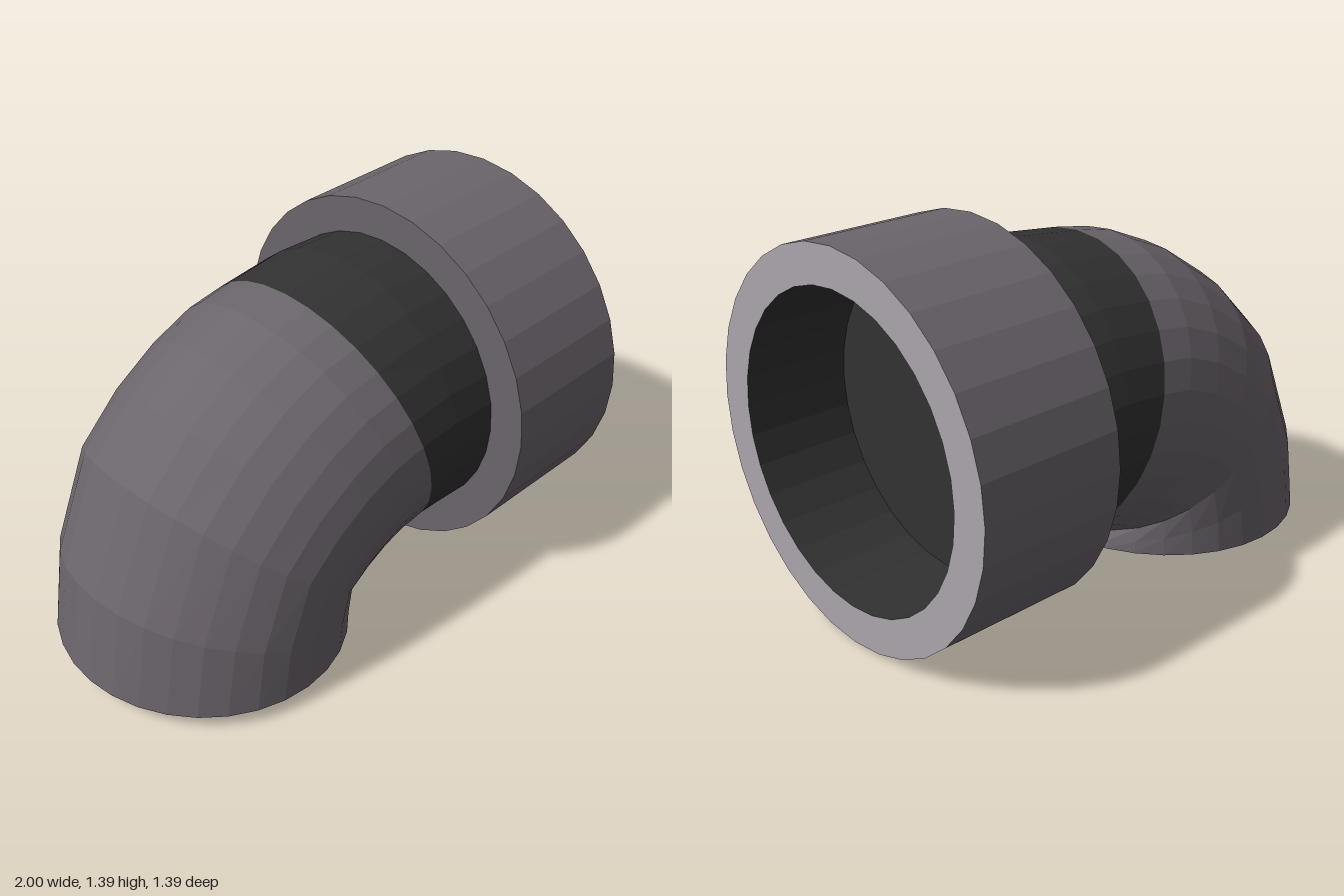
import * as THREE from 'three';

const SIDES = 32;
const AXIS_Y = 0.693;
const BORE = 0.555;

const mat = (color) => new THREE.MeshStandardMaterial({ color, flatShading: true });

// Ring from its outer-bend point to its inner-bend point, spread along z
function ring([ox, oy, ix, iy]) {
  const points = [];
  for (let j = 0; j <= SIDES; j++) {
    const t = (j / SIDES) * Math.PI * 2;
    const c = Math.cos(t);
    points.push([
      (ox + ix) / 2 + ((ox - ix) / 2) * c,
      (oy + iy) / 2 + ((oy - iy) / 2) * c,
      BORE * Math.sin(t),
    ]);
  }
  return points;
}

function toGeometry(triangles) {
  const g = new THREE.BufferGeometry();
  g.setAttribute('position', new THREE.Float32BufferAttribute(triangles.flat(), 3));
  g.computeVertexNormals();
  return g;
}

// Skin joining successive rings
function loft(sections) {
  const rings = sections.map(ring);
  const tris = [];
  for (let i = 0; i < rings.length - 1; i++) {
    for (let j = 0; j < SIDES; j++) {
      const a = rings[i][j], b = rings[i + 1][j];
      const c = rings[i + 1][j + 1], d = rings[i][j + 1];
      tris.push(a, b, d, b, c, d);
    }
  }
  return toGeometry(tris);
}

// Flat disc closing a ring
function cap(section, flip) {
  const r = ring(section);
  const centre = [(section[0] + section[2]) / 2, (section[1] + section[3]) / 2, 0];
  const tris = [];
  for (let j = 0; j < SIDES; j++) {
    if (flip) tris.push(centre, r[j + 1], r[j]);
    else tris.push(centre, r[j], r[j + 1]);
  }
  return toGeometry(tris);
}

export function createModel() {
  const model = new THREE.Group();
  model.name = 'pipeElbow';
  const plastic = mat(0x6b656c);
  const dark = mat(0x333233);
  const pale = mat(0xaaa6ac);

  const add = (name, geometry, material, parent = model) => {
    const mesh = new THREE.Mesh(geometry, material);
    mesh.name = name;
    parent.add(mesh);
  };

  // Sections: outer x, outer y, inner x, inner y
  const neck = [
    [0.6, AXIS_Y + BORE, 0.6, AXIS_Y - BORE],
    [0.445, 1.25, 0.445, 0.148],
    [0.23, 1.26, 0.29, 0.155],
    [-0.04, 1.228, 0.268, 0.165],
  ];
  const bend = [
    neck[3],
    [-0.2, 1.2, 0.18, 0.155],
    [-0.39, 1.12, 0.12, 0.14],
    [-0.59, 0.99, 0.065, 0.12],
    [-0.78, 0.8, 0.012, 0.1],
    [-0.945, 0.41, 0.04, 0.08],
    [-1, 0.06, 0.05, 0.06],
  ];
  add('neck', loft(neck), dark);
  add('bend', loft(bend), plastic);
  add('socketFloor', cap(neck[0], false), dark);
  add('lowerEnd', cap(bend[bend.length - 1], true), dark);

  // Collar: stepped sleeve turned around the x axis
  const collar = new THREE.Group();
  collar.name = 'collar';
  collar.rotation.z = -Math.PI / 2;
  collar.position.y = AXIS_Y;
  model.add(collar);
  const turn = (name, profile, material) => add(
    name,
    new THREE.LatheGeometry(profile.map(([r, x]) => new THREE.Vector2(r, x)), SIDES),
    material,
    collar,
  );
  turn('collarSleeve', [[0.54, 0.445], [AXIS_Y, 0.445], [AXIS_Y, 1]], plastic);
  turn('collarRim', [[AXIS_Y, 1], [BORE, 1]], pale);
  turn('collarBore', [[BORE, 1], [BORE, 0.6]], dark);

  return model;
}
